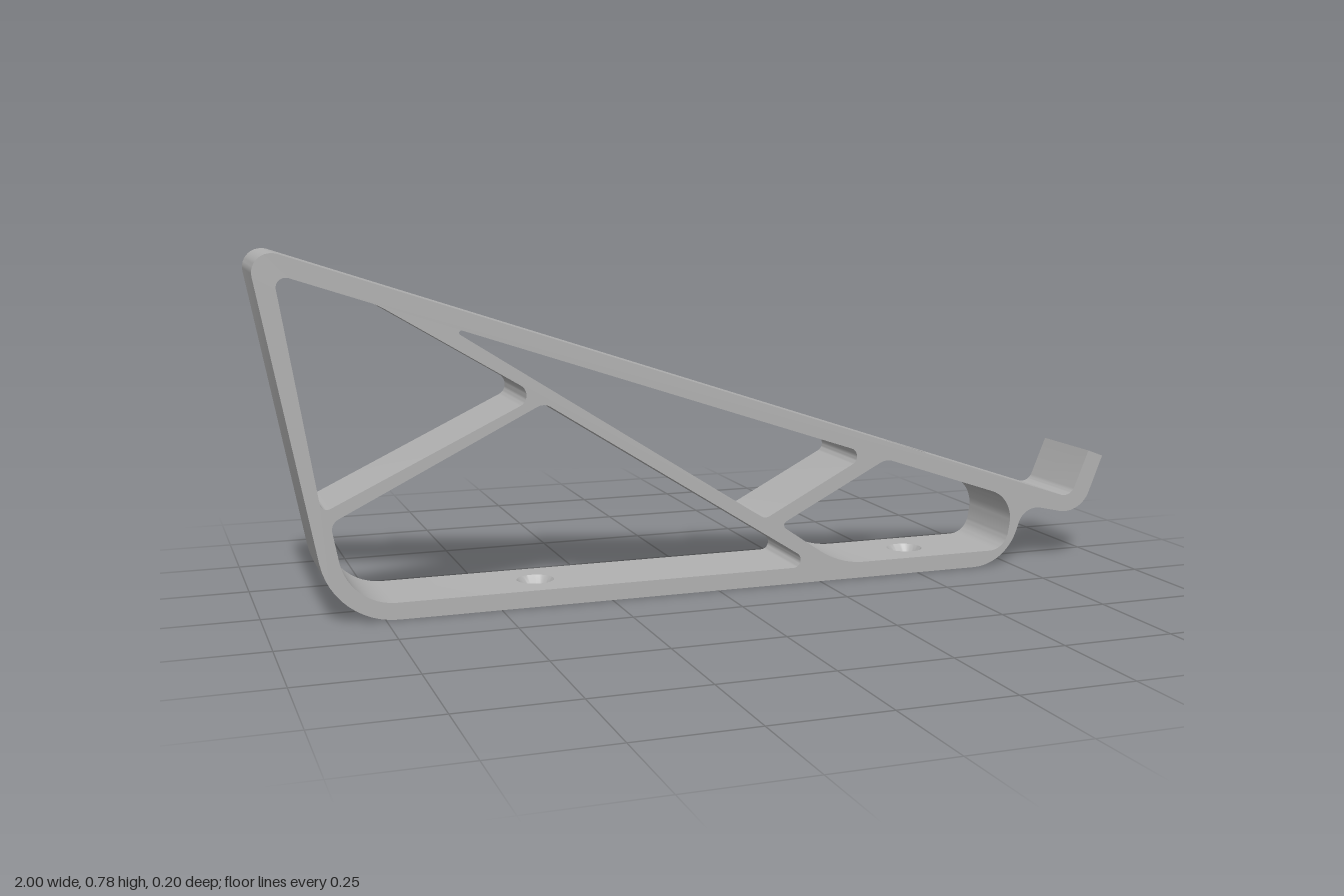
import * as THREE from 'three';
import { mergeGeometries, toCreasedNormals } from 'three/addons/utils/BufferGeometryUtils.js';

const HALF = 0.1;                 // half of the stand's width
const FLOOR = 0.037, BAR = 0.042; // floor and top bar thickness
const SLOPE = -0.337;
const topY = x => 0.4585 + SLOPE * x; // upper face of the sloping bar
const underY = x => topY(x) - BAR;
const PAD = 0.06;                 // half length of the panel around a screw hole
const REAR = -0.4, FRONT = 0.515; // screw hole positions

// Turns corners [x, y, radius] into a polygon with true arcs at the corners
function rounded(corners) {
  const pts = [], n = corners.length;
  corners.forEach(([x, y, r = 0], i) => {
    const p = new THREE.Vector2(x, y);
    if (!r) return pts.push(p);
    const [ax, ay] = corners[(i + n - 1) % n], [bx, by] = corners[(i + 1) % n];
    const u = new THREE.Vector2(ax, ay).sub(p).normalize();
    const v = new THREE.Vector2(bx, by).sub(p).normalize();
    const half = Math.acos(u.dot(v)) / 2, d = r / Math.tan(half);
    const c = u.clone().add(v).normalize().multiplyScalar(r / Math.sin(half)).add(p);
    const s = u.multiplyScalar(d).add(p).sub(c), e = v.multiplyScalar(d).add(p).sub(c);
    const sweep = Math.atan2(s.cross(e), s.dot(e)), a = s.angle();
    for (let k = 0; k <= 12; k++) {
      const t = a + sweep * k / 12;
      pts.push(new THREE.Vector2(c.x + r * Math.cos(t), c.y + r * Math.sin(t)));
    }
  });
  return pts;
}

// Two plain points that mark a screw panel on a straight run
const marks = (cx, yOf, dir) => [-dir, dir].map(s => [cx + s * PAD, yOf(cx + s * PAD)]);
const ground = () => 0, floorTop = () => FLOOR;

function frameShape() {
  const shape = new THREE.Shape(rounded([
    [-1.012, 0.7995, 0.04], [-0.86, 0, 0.165],
    ...marks(REAR, ground, 1), ...marks(FRONT, ground, 1),
    [0.735, 0, 0.12], [0.785, 0.142, 0.05], [0.94, 0.108, 0.07],
    [0.997, 0.25], [0.958, 0.265], [0.911, topY(0.911), 0.03],
    ...marks(FRONT, topY, -1),
  ]));
  const openings = [
    // upper rear
    [[-0.958, 0.739, 0.02], [-0.75, 0.669, 0.15], [-0.411, 0.464, 0.025], [-0.877, 0.24, 0.015]],
    // slim triangle under the bar
    [[-0.613, underY(-0.613), 0.005], [0.371, underY(0.371), 0.02], [0.1127, 0.157, 0.02]],
    // large lower
    [[-0.4, 0.448, 0.03], [-0.86, 0.217, 0.025], [-0.826, FLOOR, 0.12],
      ...marks(REAR, floorTop, 1), [0.245, FLOOR, 0.018]],
    // front
    [[0.15, 0.14, 0.01], [0.415, underY(0.415), 0.04], ...marks(FRONT, underY, 1),
      [0.755, underY(0.755), 0.073], [0.735, FLOOR, 0.05],
      ...marks(FRONT, floorTop, -1), [0.3, FLOOR, 0.2]],
  ];
  shape.holes = openings.map(o => new THREE.Path(rounded(o)));
  return shape;
}

// Extruded frame, left open where the drilled panels go
function frameGeometry() {
  const g = new THREE.ExtrudeGeometry(frameShape(), { depth: 2 * HALF, bevelEnabled: false });
  g.translate(0, 0, -HALF);
  const p = g.attributes.position, kept = [];
  for (let i = 0; i < p.count; i += 3) {
    const t = [0, 1, 2].map(k => new THREE.Vector3().fromBufferAttribute(p, i + k));
    const isWall = t.some(v => v.z > 0) && t.some(v => v.z < 0) &&
      new THREE.Triangle(...t).getNormal(new THREE.Vector3()).z ** 2 < 0.5;
    const within = cx => t.every(v => Math.abs(v.x - cx) < PAD + 0.001);
    if (isWall && (within(FRONT) || (within(REAR) && t[0].y < 0.05))) continue;
    t.forEach(v => kept.push(v.x, v.y, v.z));
  }
  const out = new THREE.BufferGeometry();
  out.setAttribute('position', new THREE.Float32BufferAttribute(kept, 3));
  return toCreasedNormals(out, 0.5);
}

// One face of a drilled panel
function face(radius, y, up) {
  const s = new THREE.Shape([[-PAD, -HALF], [PAD, -HALF], [PAD, HALF], [-PAD, HALF]]
    .map(([x, z]) => new THREE.Vector2(x, z)));
  s.holes.push(new THREE.Path().absarc(0, 0, radius, 0, 2 * Math.PI, true));
  return new THREE.ShapeGeometry(s, 20).rotateX(up ? -Math.PI / 2 : Math.PI / 2).translate(0, y, 0);
}

// Panel with a hole; the bore profile [radius, y] runs from the top down
function drilledPanel(bore, slope = 0) {
  const [r0, y0] = bore[0], [r1, y1] = bore[bore.length - 1];
  const wall = new THREE.LatheGeometry(bore.map(b => new THREE.Vector2(...b)), 40);
  const g = mergeGeometries([face(r0, y0, true), face(r1, y1, false), wall]
    .map(part => part.toNonIndexed()));
  const p = g.attributes.position;
  for (let i = 0; i < p.count; i++) p.setY(i, p.getY(i) + slope * p.getX(i));
  return toCreasedNormals(g, 0.5);
}

export function createModel() {
  const group = new THREE.Group();
  group.name = 'stand';
  const grey = new THREE.MeshStandardMaterial({ color: 0xb0b0b0 });
  grey.name = 'grey';
  const add = (name, geometry, x = 0, y = 0) => {
    const mesh = new THREE.Mesh(geometry, grey);
    mesh.name = name;
    mesh.position.set(x, y, 0);
    group.add(mesh);
  };

  add('frame', frameGeometry());

  // Countersunk screw holes in the floor and the access hole above the front one
  const screw = [[0.042, FLOOR], [0.027, 0.018], [0.027, 0]];
  add('rearScrewHole', drilledPanel(screw), REAR);
  add('frontScrewHole', drilledPanel(screw), FRONT);
  add('accessHole', drilledPanel([[0.048, 0], [0.048, -BAR]], SLOPE), FRONT, topY(FRONT));
  return group;
}
